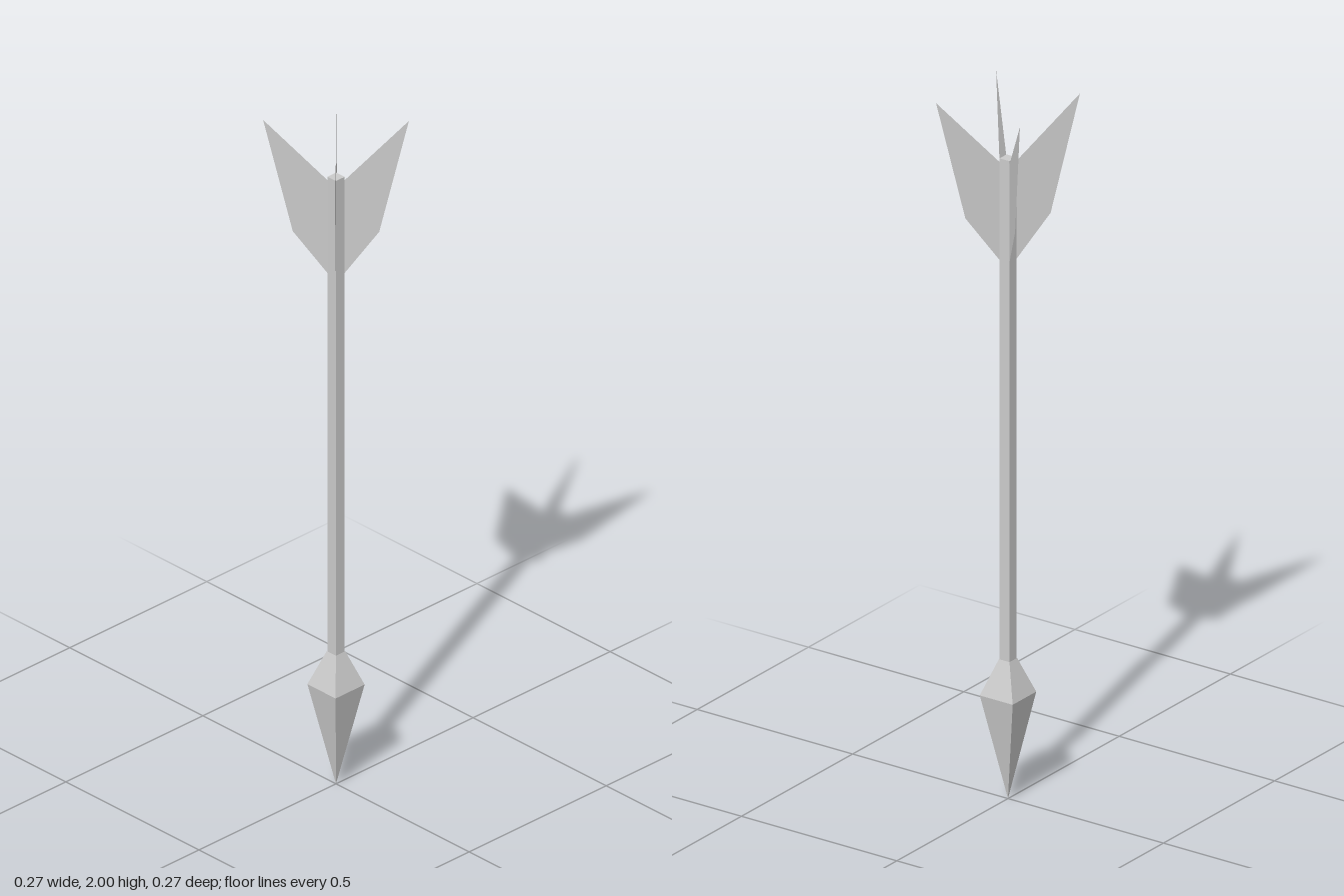
import * as THREE from 'three';

const material = new THREE.MeshStandardMaterial({ color: 0xcccccc, flatShading: true });
const finMaterial = new THREE.MeshStandardMaterial({ color: 0xcccccc, flatShading: true, side: THREE.DoubleSide });

// Square tapered section with its faces square to x and z
function squareSection(name, halfTop, halfBottom, y0, y1, open) {
  const geometry = new THREE.CylinderGeometry(
    halfTop * Math.SQRT2, halfBottom * Math.SQRT2, y1 - y0, 4, 1, open, Math.PI / 4);
  const mesh = new THREE.Mesh(geometry, material);
  mesh.name = name;
  mesh.position.y = (y0 + y1) / 2;
  return mesh;
}

export function createModel() {
  const arrow = new THREE.Group();
  arrow.name = 'arrow';

  // Shaft and pointed head
  arrow.add(squareSection('shaft', 0.016, 0.016, 0.39, 1.83, false));
  const head = new THREE.Group();
  head.name = 'head';
  head.add(squareSection('headShoulder', 0.017, 0.053, 0.3, 0.4, true));
  head.add(squareSection('headPoint', 0.053, 0, 0, 0.3, true));
  arrow.add(head);

  // Four thin fins running out from the shaft corners
  const outline = [[0.016, 1.54], [0.08, 1.665], [0.135, 2], [0.016, 1.82]]
    .map(([x, y]) => new THREE.Vector2(x * Math.SQRT2, y));
  const finGeometry = new THREE.ShapeGeometry(new THREE.Shape(outline));
  const fletching = new THREE.Group();
  fletching.name = 'fletching';
  for (let i = 0; i < 4; i++) {
    const fin = new THREE.Mesh(finGeometry, finMaterial);
    fin.name = 'fin' + (i + 1);
    fin.rotation.y = Math.PI / 4 + i * Math.PI / 2;
    fletching.add(fin);
  }
  arrow.add(fletching);
  return arrow;
}
